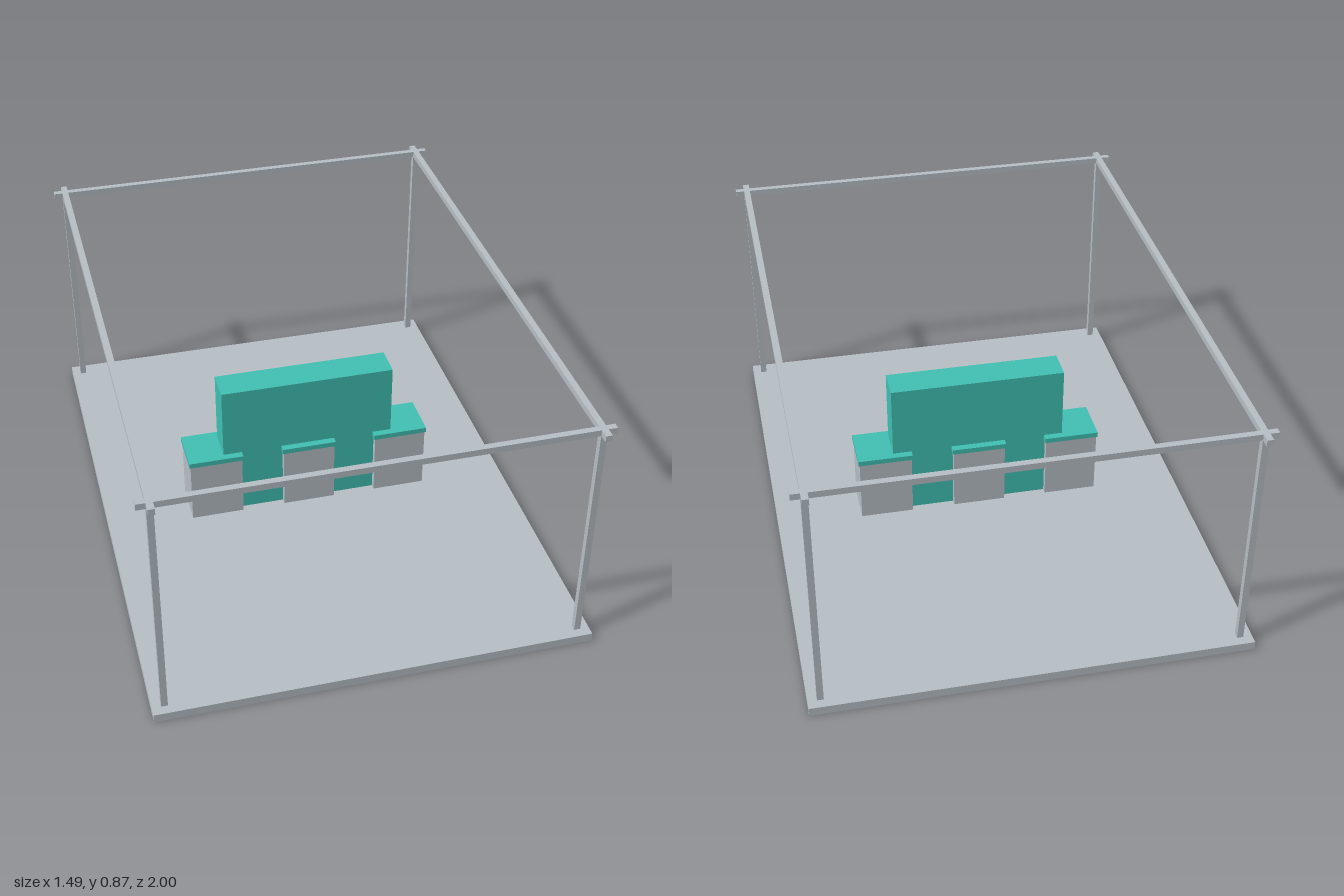
import * as THREE from 'three';

export function createModel() {
  const model = new THREE.Group();
  const grey = new THREE.MeshStandardMaterial({ color: 0xb8c0c7 });
  grey.name = 'grey';
  const teal = new THREE.MeshStandardMaterial({ color: 0x41c2b4 });
  teal.name = 'teal';

  // Box centred on x and z, resting on its base height
  function box(name, material, [w, h, d], [x, y, z]) {
    const mesh = new THREE.Mesh(new THREE.BoxGeometry(w, h, d), material);
    mesh.name = name;
    mesh.position.set(x, y + h / 2, z);
    model.add(mesh);
  }

  const floorTop = 0.031, beamBase = 0.852, bar = 0.022;
  const postX = 0.705, postZ = 0.957;

  box('floor', grey, [1.494, floorTop, 2], [0, 0, 0]);

  // Open frame: corner posts and crossing top beams
  for (const s of [-1, 1]) {
    for (const t of [-1, 1]) {
      box('cornerPost', grey, [bar, beamBase - floorTop, bar], [s * postX, floorTop, t * postZ]);
    }
    box('sideBeam', grey, [bar, bar, 2], [s * postX, beamBase, 0]);
    box('crossBeam', grey, [1.494, bar, bar], [0, beamBase, s * postZ]);
  }

  // Central wall with three capped counters running through it
  box('wall', teal, [0.628, 0.519, 0.115], [0, floorTop, 0]);
  for (const x of [-0.345, 0, 0.345]) {
    box('counter', grey, [0.19, 0.234, 0.158], [x, floorTop, 0]);
    box('counterTop', teal, [0.198, 0.019, 0.167], [x, 0.265, 0]);
  }
  return model;
}
